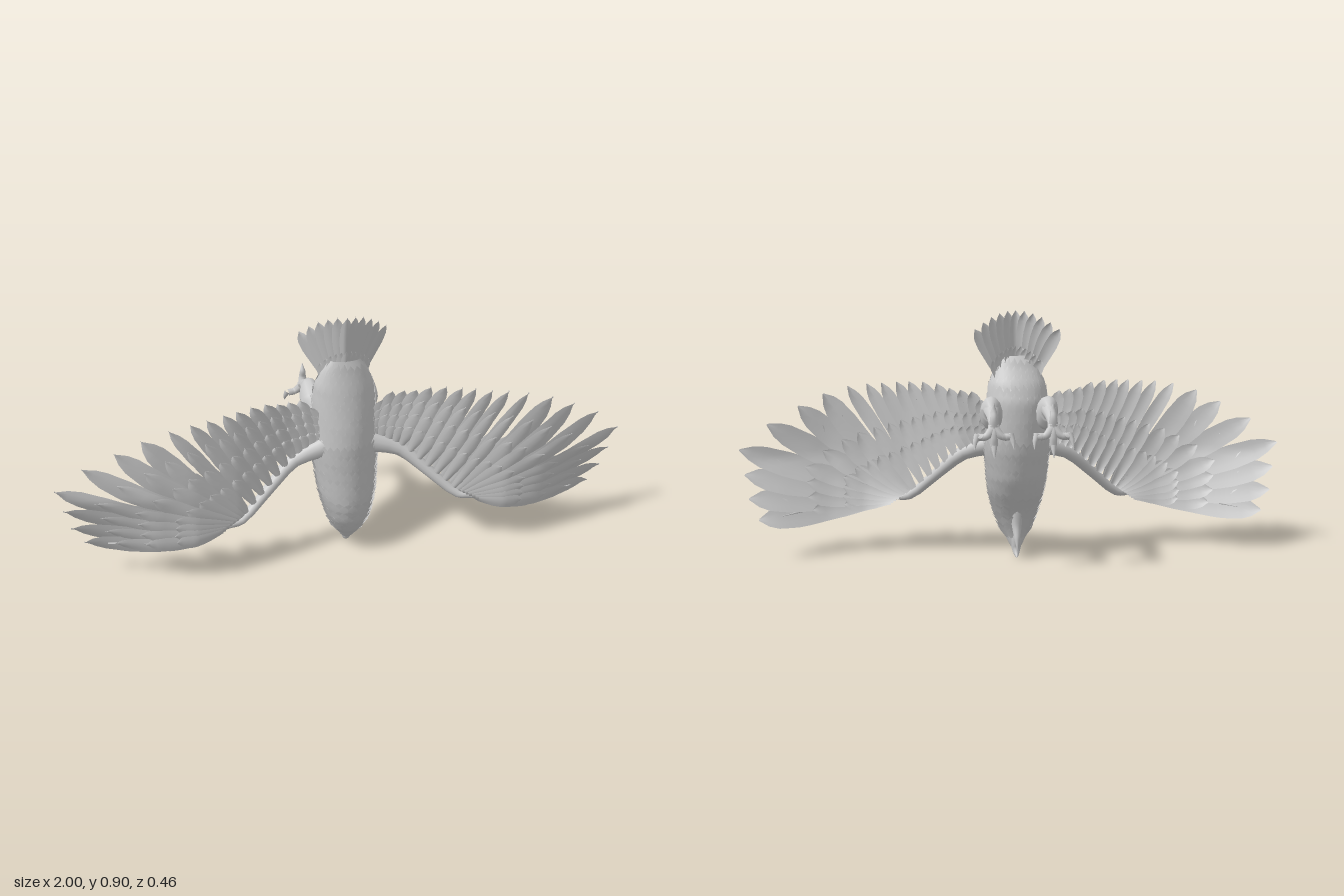
import * as THREE from 'three';
import { mergeGeometries } from 'three/addons/utils/BufferGeometryUtils.js';

const V = (x, y, z) => new THREE.Vector3(x, y, z);
const skin = new THREE.MeshStandardMaterial({ color: 0xcccccc });
const plume = new THREE.MeshStandardMaterial({ color: 0xcccccc, side: THREE.DoubleSide });

// Piecewise linear lookup in rows [key, value, ...]
function lookup(rows, k, col = 1) {
  let i = 0;
  while (i < rows.length - 2 && k > rows[i + 1][0]) i++;
  const a = rows[i], b = rows[i + 1];
  const t = THREE.MathUtils.clamp((k - a[0]) / (b[0] - a[0]), 0, 1);
  return a[col] + (b[col] - a[col]) * t;
}

// Grid of points fn(u, v) turned into a smooth surface
function surface(nu, nv, fn) {
  const pos = [], idx = [];
  for (let i = 0; i <= nu; i++)
    for (let j = 0; j <= nv; j++) pos.push(...fn(i / nu, j / nv).toArray());
  for (let i = 0; i < nu; i++)
    for (let j = 0; j < nv; j++) {
      const a = i * (nv + 1) + j, b = a + nv + 1;
      idx.push(a, b, a + 1, b, b + 1, a + 1);
    }
  const g = new THREE.BufferGeometry();
  g.setAttribute('position', new THREE.Float32BufferAttribute(pos, 3));
  g.setIndex(idx);
  g.computeVertexNormals();
  return g;
}

// Tapered tube through points; radii follow the points, sx squeezes it in x
function limb(points, radii, sx = 1, sides = 12) {
  const curve = new THREE.CatmullRomCurve3(points);
  const n = radii.length - 1;
  const rows = radii.map((r, i) => [i / n, r]);
  return surface(18, sides, (u, v) => {
    const p = curve.getPoint(u), t = curve.getTangent(u);
    const side = V(1, 0, 0).addScaledVector(t, -t.x).normalize();
    const up = t.clone().cross(side);
    const a = -v * Math.PI * 2, r = lookup(rows, u);
    return p.addScaledVector(side, Math.cos(a) * r * sx).addScaledVector(up, Math.sin(a) * r);
  });
}

// Body sections: y, half width, back z, belly z
const BODY = [
  [0.03, 0.016, 0.095, 0.062], [0.05, 0.028, 0.118, 0.057], [0.1, 0.052, 0.155, 0.05],
  [0.15, 0.072, 0.176, 0.036], [0.2, 0.086, 0.178, 0.01], [0.25, 0.098, 0.172, -0.02],
  [0.3, 0.104, 0.165, -0.045], [0.4, 0.112, 0.152, -0.066], [0.5, 0.109, 0.138, -0.07],
  [0.58, 0.108, 0.12, -0.066], [0.64, 0.1, 0.105, -0.035], [0.7, 0.075, 0.088, 0.02],
  [0.74, 0.05, 0.08, 0.045],
];
function bodyPoint(y, a, lift = 0) {
  const w = lookup(BODY, y), zb = lookup(BODY, y, 2), zf = lookup(BODY, y, 3);
  return V(Math.sin(a) * (w + lift), y, (zb + zf) / 2 + Math.cos(a) * ((zb - zf) / 2 + lift));
}

// Overlapping small feathers wrapped around the body
function plumage(y0, y1, rows, length, lift, count) {
  const list = [];
  for (let r = 0; r < rows; r++) {
    const y = y0 + (y1 - y0) * r / (rows - 1);
    const n = Math.max(9, Math.round(count * lookup(BODY, y) / 0.11));
    for (let k = 0; k < n; k++) {
      const a = (k + (r % 2) * 0.5) / n * Math.PI * 2;
      const len = length * (0.85 + 0.3 * Math.abs(Math.sin(k * 12.9 + r * 7.3)));
      list.push(surface(3, 2, (u, v) => {
        const w = [0.75, 1.15, 0.95, 0.1][Math.round(u * 3)] * Math.PI / n;
        const p = bodyPoint(y, a + (v * 2 - 1) * w, 0.001 + lift * u - Math.abs(v - 0.5) * 0.003);
        const q = bodyPoint(Math.min(0.74, y + len * u), a + (v * 2 - 1) * w, 0.001 + lift * u);
        return V(q.x, y + len * u, (p.z + q.z * 2) / 3);
      }));
    }
  }
  return mergeGeometries(list);
}

// Curved sheet on which the wing feathers lie
const WING = [[0, 0.07], [0.12, 0.078], [0.2, 0.095], [0.3, 0.135], [0.4, 0.172],
  [0.55, 0.208], [0.68, 0.215], [0.8, 0.195], [0.9, 0.17], [1, 0.145]];
const wingZ = (x, y) =>
  lookup(WING, x) - Math.max(0, 0.36 - y) * 0.3 * THREE.MathUtils.smoothstep(x, 0.5, 0.9);

// One long feather from base to tip, laid on a height function z(x, y)
function feather(base, tip, width, lift, height, bend = 0, tilt = 0.006) {
  const dx = tip[0] - base[0], dy = tip[1] - base[1], len = Math.hypot(dx, dy);
  const nx = -dy / len, ny = dx / len;
  const shape = [[0, 0.45], [0.35, 0.8], [0.7, 1], [0.86, 0.85], [0.95, 0.5], [1, 0.04]];
  return surface(14, 4, (u, v) => {
    const s = v * 2 - 1;
    const off = s * width / 2 * lookup(shape, u) + bend * Math.sin(u * Math.PI);
    const x = base[0] + dx * u + nx * off, y = base[1] + dy * u + ny * off;
    return V(x, y, height(x, y) + lift + s * tilt - s * s * 0.004);
  });
}

// Tips of the flight feathers, from the body out round to the leading edge
const TIPS = [[0.13, 0.58], [0.16, 0.61], [0.2, 0.615], [0.24, 0.62], [0.285, 0.635], [0.335, 0.64],
  [0.385, 0.64], [0.43, 0.638], [0.485, 0.633], [0.54, 0.63], [0.61, 0.62], [0.7, 0.593],
  [0.79, 0.55], [0.9, 0.488], [0.998, 0.4], [0.98, 0.31], [0.965, 0.225], [0.93, 0.15]];
const ARM = [[0, 0.1, 0.43], [0.25, 0.2, 0.4], [0.6, 0.38, 0.24], [1, 0.46, 0.2]];

function makeWing() {
  const wing = new THREE.Group();
  const flight = [], coverts = [];
  TIPS.forEach((tip, i) => {
    const t = i / (TIPS.length - 1);
    const base = [lookup(ARM, t, 1), lookup(ARM, t, 2)];
    const bend = i > 10 ? -0.012 : 0.004;
    flight.push(feather(base, tip, i > 10 ? 0.088 : 0.054, -0.002 * (i % 2), wingZ, bend));
    // Three shorter covert layers above and two below
    [[0.78, 0.006, 0.06], [0.56, 0.011, 0.062], [0.34, 0.016, 0.055], [0.6, -0.014, 0.062], [0.36, -0.02, 0.055]]
      .forEach(([f, lift, w]) => {
        const end = [0, 1].map(k => base[k] + (tip[k] - base[k]) * f);
        coverts.push(feather(base, end, w * (i > 10 ? 1.1 : 0.8), lift, wingZ, bend * f, 0.004));
      });
  });
  const add = (g, name, m) => {
    const mesh = new THREE.Mesh(g, m);
    mesh.name = name;
    wing.add(mesh);
  };
  add(mergeGeometries(flight), 'flightFeathers', plume);
  add(mergeGeometries(coverts), 'covertFeathers', plume);
  // Leading edge bone and muscle
  const edge = [[0.06, 0.43], [0.19, 0.385], [0.29, 0.3], [0.39, 0.215], [0.44, 0.208], [0.65, 0.185], [0.85, 0.155]];
  add(limb(edge.map(([x, y]) => V(x, y, wingZ(x, y))), [0.045, 0.026, 0.02, 0.016, 0.012, 0.007, 0.002]),
    'wingArm', plume);
  return wing;
}

function makeLeg() {
  const leg = new THREE.Group();
  const add = (g, name, m = skin) => {
    const mesh = new THREE.Mesh(g, m);
    mesh.name = name;
    leg.add(mesh);
    return mesh;
  };
  add(limb([V(0.08, 0.5, 0.03), V(0.095, 0.54, -0.03), V(0.1, 0.565, -0.08), V(0.1, 0.56, -0.118)],
    [0.035, 0.058, 0.045, 0.02], 0.75), 'thigh', plume);
  add(limb([V(0.1, 0.565, -0.08), V(0.1, 0.548, -0.14), V(0.1, 0.532, -0.185), V(0.1, 0.515, -0.212)],
    [0.03, 0.02, 0.017, 0.02]), 'shank');
  // Three front toes, one hind toe, each ending in a hooked claw
  [-0.055, 0, 0.055].forEach(s => {
    const low = s ? 0.03 : 0;
    add(limb([V(0.1, 0.52, -0.205), V(0.1 + s * 0.5, 0.49, -0.216), V(0.1 + s, 0.458 + low, -0.212)],
      [0.016, 0.012, 0.013], 1, 8), 'toe');
    add(limb([V(0.1 + s, 0.466 + low, -0.212), V(0.1 + s * 1.15, 0.443 + low, -0.222), V(0.1 + s * 1.2, 0.418 + low, -0.234)],
      [0.012, 0.008, 0.001], 1, 8), 'claw');
  });
  add(limb([V(0.1, 0.52, -0.205), V(0.1, 0.55, -0.212), V(0.1, 0.575, -0.206), V(0.1, 0.602, -0.212)],
    [0.017, 0.013, 0.01, 0.001], 1, 8), 'hindToe');
  return leg;
}

export function createModel() {
  const bird = new THREE.Group();
  bird.name = 'divingBird';
  const add = (g, name, m = skin) => {
    const mesh = new THREE.Mesh(g, m);
    mesh.name = name;
    bird.add(mesh);
    return mesh;
  };
  add(surface(40, 32, (u, v) => bodyPoint(0.03 + 0.71 * u, v * Math.PI * 2)), 'body', plume);
  add(plumage(0.07, 0.2, 10, 0.035, 0.011, 26), 'headFeathers', plume);
  add(plumage(0.21, 0.4, 11, 0.045, 0.01, 30), 'breastFeathers', plume);
  add(plumage(0.42, 0.68, 10, 0.05, 0.005, 24), 'rumpFeathers', plume);

  // Open hooked beak and eyes
  add(limb([V(0, 0.13, 0.085), V(0, 0.07, 0.078), V(0, 0.03, 0.072), V(0, 0.01, 0.052), V(0, 0.004, 0.027)],
    [0.036, 0.031, 0.023, 0.011, 0.001], 0.75), 'upperBeak');
  add(limb([V(0, 0.18, 0.048), V(0, 0.12, 0.042), V(0, 0.075, 0.026), V(0, 0.035, 0.012)],
    [0.03, 0.02, 0.012, 0.001], 0.9), 'lowerBeak');

  // Fanned tail, two layers
  const tail = [];
  const tailZ = (x, y) => 0.068 + (y - 0.7) * 0.1 - Math.abs(x) * 0.4;
  for (let i = -5; i <= 5; i++) {
    const tip = [i * 0.03, 0.9 - i * i * 0.0026];
    tail.push(feather([i * 0.009, 0.64], tip, 0.046, 0.002 * (i % 2), tailZ));
    tail.push(feather([i * 0.009, 0.62], [i * 0.017, 0.775 - i * i * 0.002], 0.04, 0.008, tailZ));
    tail.push(feather([i * 0.009, 0.62], [i * 0.017, 0.775 - i * i * 0.002], 0.04, -0.01, tailZ));
  }
  add(mergeGeometries(tail), 'tailFeathers', plume);

  // Paired parts, mirrored across x
  [['left', 1], ['right', -1]].forEach(([side, s]) => {
    const wing = makeWing(), leg = makeLeg();
    wing.name = side + 'Wing';
    leg.name = side + 'Leg';
    wing.scale.x = leg.scale.x = s;
    bird.add(wing, leg);
    const eye = add(new THREE.SphereGeometry(0.009, 12, 8), side + 'Eye');
    eye.position.set(s * 0.056, 0.112, 0.095);
  });
  return bird;
}
